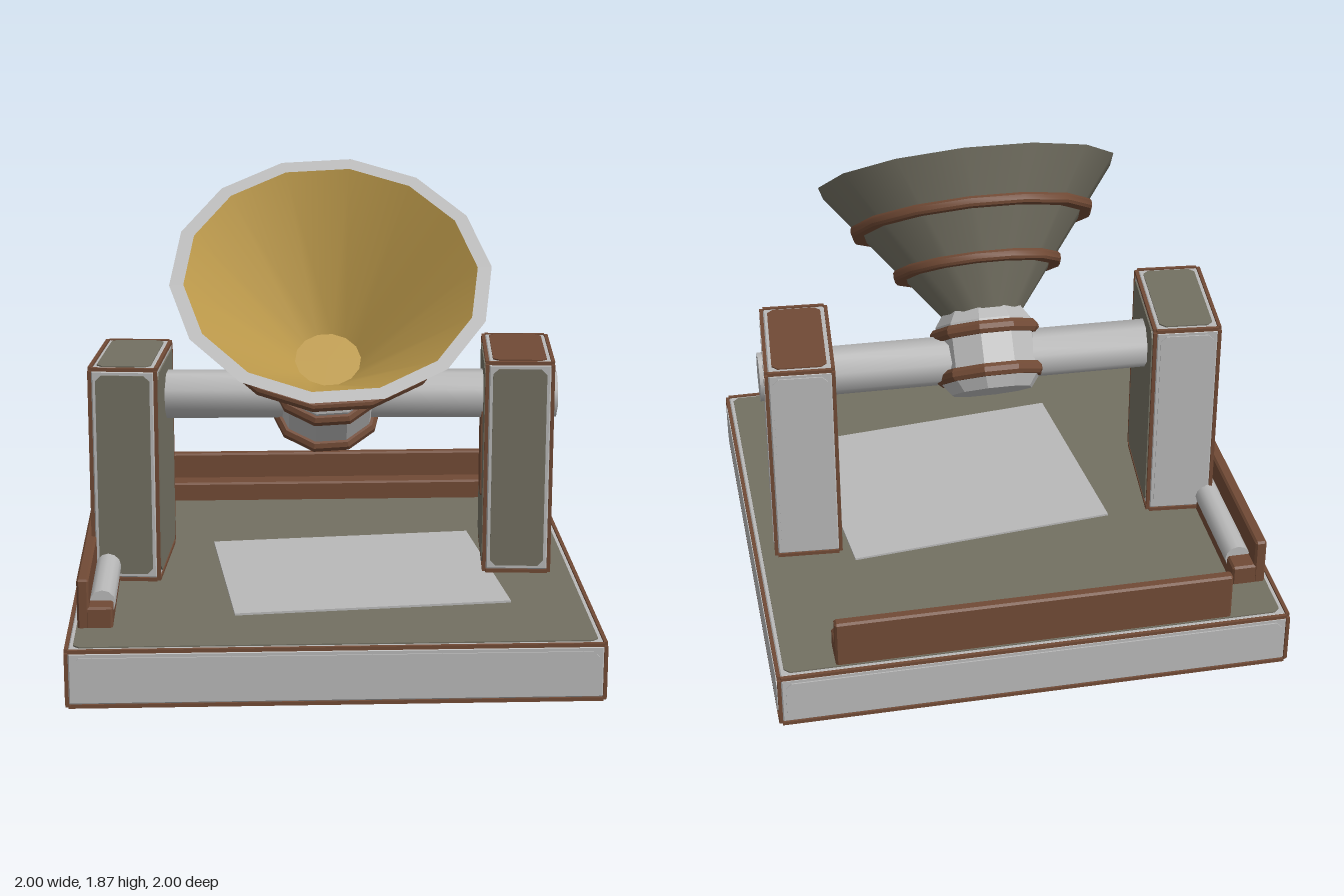
import * as THREE from 'three';
import { toCreasedNormals } from 'three/addons/utils/BufferGeometryUtils.js';
import { ConvexGeometry } from 'three/addons/geometries/ConvexGeometry.js';

const mat = (name, color) => Object.assign(new THREE.MeshStandardMaterial({ color }), { name });
const grey = mat('light grey', 0xb9b9b9);
const olive = mat('olive grey', 0x737062);
const brown = mat('brown', 0x714a35);
const gold = mat('gold', 0xbd9a4b);

function add(parent, name, geometry, material, x = 0, y = 0, z = 0) {
  const mesh = new THREE.Mesh(geometry, material);
  mesh.name = name;
  mesh.position.set(x, y, z);
  parent.add(mesh);
  return mesh;
}

function group(parent, name, x, y, z) {
  const g = new THREE.Group();
  g.name = name;
  g.position.set(x, y, z);
  parent.add(g);
  return g;
}

const box = (w, h, d) => new THREE.BoxGeometry(w, h, d);

// Surface of revolution about y from [radius, height] pairs
function lathe(pairs, sides, crease = 0.6) {
  const points = pairs.map(([r, y]) => new THREE.Vector2(r, y));
  return toCreasedNormals(new THREE.LatheGeometry(points, sides, Math.PI / sides, Math.PI * 2), crease);
}

// Block with cut edges
function chamferBox(w, h, d, c) {
  const half = [w / 2, h / 2, d / 2], points = [];
  for (const sx of [-1, 1]) for (const sy of [-1, 1]) for (const sz of [-1, 1])
    for (let full = 0; full < 3; full++) {
      const p = half.map((v, i) => (i === full ? v : v - c));
      points.push(new THREE.Vector3(sx * p[0], sy * p[1], sz * p[2]));
    }
  return new ConvexGeometry(points);
}

// Thin plate with cut corners, facing +z
function plate(w, h, c) {
  const x = w / 2, y = h / 2;
  const corners = [[-x + c, -y], [x - c, -y], [x, -y + c], [x, y - c],
    [x - c, y], [-x + c, y], [-x, y - c], [-x, -y + c]];
  const shape = new THREE.Shape(corners.map(([a, b]) => new THREE.Vector2(a, b)));
  return new THREE.ExtrudeGeometry(shape, { depth: 0.007, bevelEnabled: false });
}

// Grey block with brown edge strips and a coloured panel on each face
// faces: +x, -x, +y, -y, +z, -z
function panelledBlock(parent, name, w, h, d, faces, inset) {
  const size = [w, h, d], t = 0.014;
  add(parent, name + 'Body', chamferBox(w - 0.01, h - 0.01, d - 0.01, 0.016), grey);
  for (let k = 0; k < 3; k++)
    for (const s1 of [-1, 1]) for (const s2 of [-1, 1]) {
      const a = (k + 1) % 3, b = (k + 2) % 3, dims = [t, t, t], pos = [0, 0, 0];
      dims[k] = size[k] - 0.03;
      pos[a] = s1 * (size[a] / 2 - 0.009);
      pos[b] = s2 * (size[b] / 2 - 0.009);
      add(parent, name + 'EdgeStrip', box(...dims), brown, ...pos);
    }
  const turns = [[0, Math.PI / 2], [0, -Math.PI / 2], [-Math.PI / 2, 0], [Math.PI / 2, 0], [0, 0], [0, Math.PI]];
  faces.forEach((material, i) => {
    const u = i < 2 ? d : w, v = i === 2 || i === 3 ? d : h;
    const geometry = plate(u - 2 * inset, v - 2 * inset, 0.022);
    geometry.translate(0, 0, size[i >> 1] / 2 - 0.007);
    geometry.rotateX(turns[i][0]).rotateY(turns[i][1]);
    add(parent, name + 'Panel', geometry, material);
  });
}

// L-shaped rail running along x, tall side at -z
function rail(parent, name) {
  const g = group(parent, name, 0, 0, 0);
  add(g, 'railWall', chamferBox(1.54, 0.2, 0.045, 0.008), brown, 0, 0.32, -0.94);
  add(g, 'railStep', chamferBox(1.54, 0.09, 0.1, 0.008), brown, 0, 0.265, -0.88);
  return g;
}

export function createModel() {
  const model = new THREE.Group();
  model.name = 'dishStation';

  // Base slab and the loose floor plate
  const base = group(model, 'base', 0, 0.115, 0);
  panelledBlock(base, 'base', 2, 0.23, 2, [grey, brown, olive, grey, grey, grey], 0.033);
  const floor = add(model, 'floorPlate', box(1.07, 0.009, 0.88), grey, 0.115, 0.234, 0.165);
  floor.rotation.y = 0.098;

  // Rails at the back and along the right side, with a pipe on the side one
  rail(model, 'backRail');
  rail(model, 'sideRail').rotation.y = Math.PI / 2;
  const pipe = add(model, 'sidePipe',
    toCreasedNormals(new THREE.CylinderGeometry(0.05, 0.05, 1.38, 12), 0.8), grey, -0.872, 0.3, 0);
  pipe.rotation.x = Math.PI / 2;

  // Two slightly turned pillars
  const pillars = [
    ['rightPillar', -0.778, 0.67, 0.007, -0.095, [olive, olive, olive, brown, olive, grey]],
    ['leftPillar', 0.766, 0.675, -0.018, -0.07, [grey, olive, brown, brown, olive, grey]],
  ];
  for (const [name, x, y, z, turn, faces] of pillars) {
    const pillar = group(model, name, x, y, z);
    pillar.rotation.y = turn;
    panelledBlock(pillar, name, 0.275, 0.87, 0.51, faces, 0.032);
    add(pillar, 'pillarFoot', box(0.2, 0.03, 0.4), brown, 0, -0.435, 0);
    const hatch = add(pillar, 'pillarHatch', plate(0.2, 0.4, 0.01), brown, -0.136, 0.04, 0);
    hatch.rotation.y = -Math.PI / 2;
  }

  // Cross shaft, passing out through the left pillar
  const shaftGeometry = new THREE.CylinderGeometry(0.098, 0.098, 1.64, 8, 1, false, Math.PI / 8);
  const shaft = group(model, 'shaft', 0.1, 0.927, -0.008);
  shaft.rotation.y = -0.025;
  add(shaft, 'crossShaft', toCreasedNormals(shaftGeometry, 1), grey).rotation.z = Math.PI / 2;

  // Tilted head: hub and dish share one axis
  const head = group(model, 'head', 0, 0.93, 0.01);
  head.rotation.set(0.662, 0.066, 0);
  add(head, 'hub', lathe([[0, -0.155], [0.165, -0.155], [0.2, -0.11], [0.2, 0.12], [0.165, 0.17], [0, 0.17]], 10, 0.4), grey);
  for (const y of [-0.085, 0.085])
    add(head, 'hubRing', lathe([[0.18, y - 0.025], [0.212, y - 0.025], [0.225, y - 0.01],
      [0.225, y + 0.01], [0.212, y + 0.025], [0.18, y + 0.025]], 10, 0.4), brown);

  // Dish: outer shell, rim and lining
  add(head, 'dishShell', lathe([[0, 0.116], [0.128, 0.116], [0.608, 0.723]], 14), olive);
  add(head, 'dishRim', lathe([[0.608, 0.723], [0.555, 0.723]], 14), grey);
  add(head, 'dishLining', lathe([[0.555, 0.723], [0.13, 0.22], [0, 0.22]], 14), gold);
  for (const [y, r] of [[0.345, 0.345], [0.537, 0.497]])
    add(head, 'dishRing', lathe([[r - 0.07, y - 0.02], [r - 0.008, y - 0.02], [r, y - 0.01],
      [r, y + 0.01], [r - 0.008, y + 0.02], [r - 0.05, y + 0.02]], 14), brown);

  return model;
}
